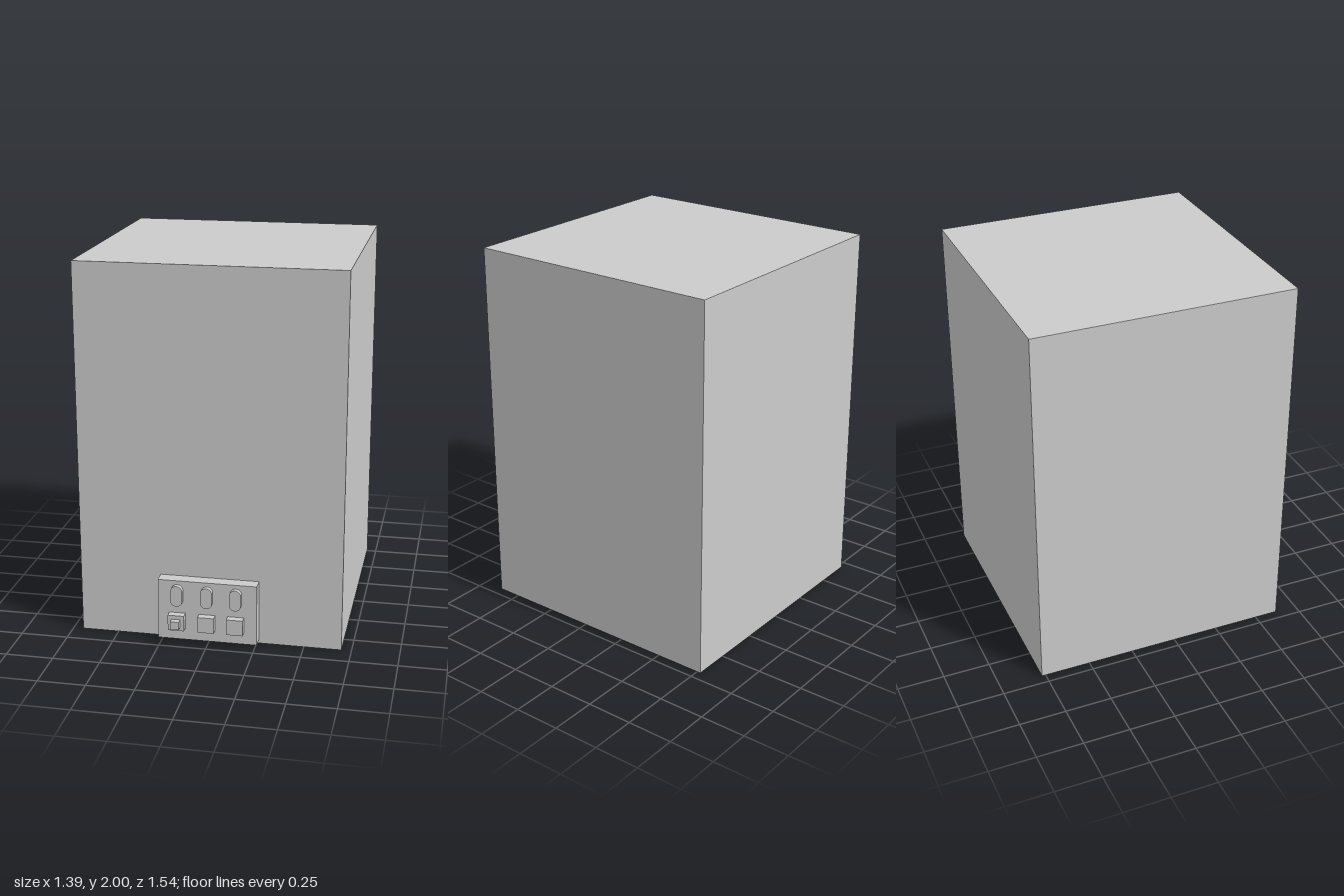
import * as THREE from 'three';

const material = new THREE.MeshStandardMaterial({ color: 0xcccccc });

// Box given by its lower and upper corners
function box(name, [x0, y0, z0], [x1, y1, z1]) {
  const mesh = new THREE.Mesh(new THREE.BoxGeometry(x1 - x0, y1 - y0, z1 - z0), material);
  mesh.position.set((x0 + x1) / 2, (y0 + y1) / 2, (z0 + z1) / 2);
  mesh.name = name;
  return mesh;
}

// Plain raised pill with rounded ends
function marker(x, y, z, width, height, depth) {
  const r = width / 2, h = height / 2 - r;
  const shape = new THREE.Shape();
  shape.absarc(0, h, r, 0, Math.PI);
  shape.absarc(0, -h, r, Math.PI, Math.PI * 2);
  shape.closePath();
  const geometry = new THREE.ExtrudeGeometry(shape, { depth, bevelEnabled: false, curveSegments: 12 });
  const mesh = new THREE.Mesh(geometry, material);
  mesh.position.set(x, y, z);
  mesh.name = 'marker';
  return mesh;
}

export function createModel() {
  const model = new THREE.Group();
  model.name = 'cabinet';

  // Tall cabinet
  model.add(box('body', [-0.697, 0, -0.77], [0.697, 2, 0.627]));

  // Control panel low on the front
  const panel = new THREE.Group();
  panel.name = 'controlPanel';
  panel.add(box('panelPlate', [-0.263, 0.02, 0.627], [0.261, 0.35, 0.696]));

  // Three square buttons, each below a plain raised marker
  for (const x of [-0.16, -0.002, 0.151]) {
    panel.add(box('button', [x - 0.043, 0.085, 0.696], [x + 0.043, 0.17, 0.737]));
    panel.add(marker(x, 0.272, 0.696, 0.062, 0.114, 0.026));
  }

  // Small square peg on the first button
  panel.add(box('buttonPeg', [-0.183, 0.105, 0.737], [-0.137, 0.149, 0.77]));
  model.add(panel);

  return model;
}
